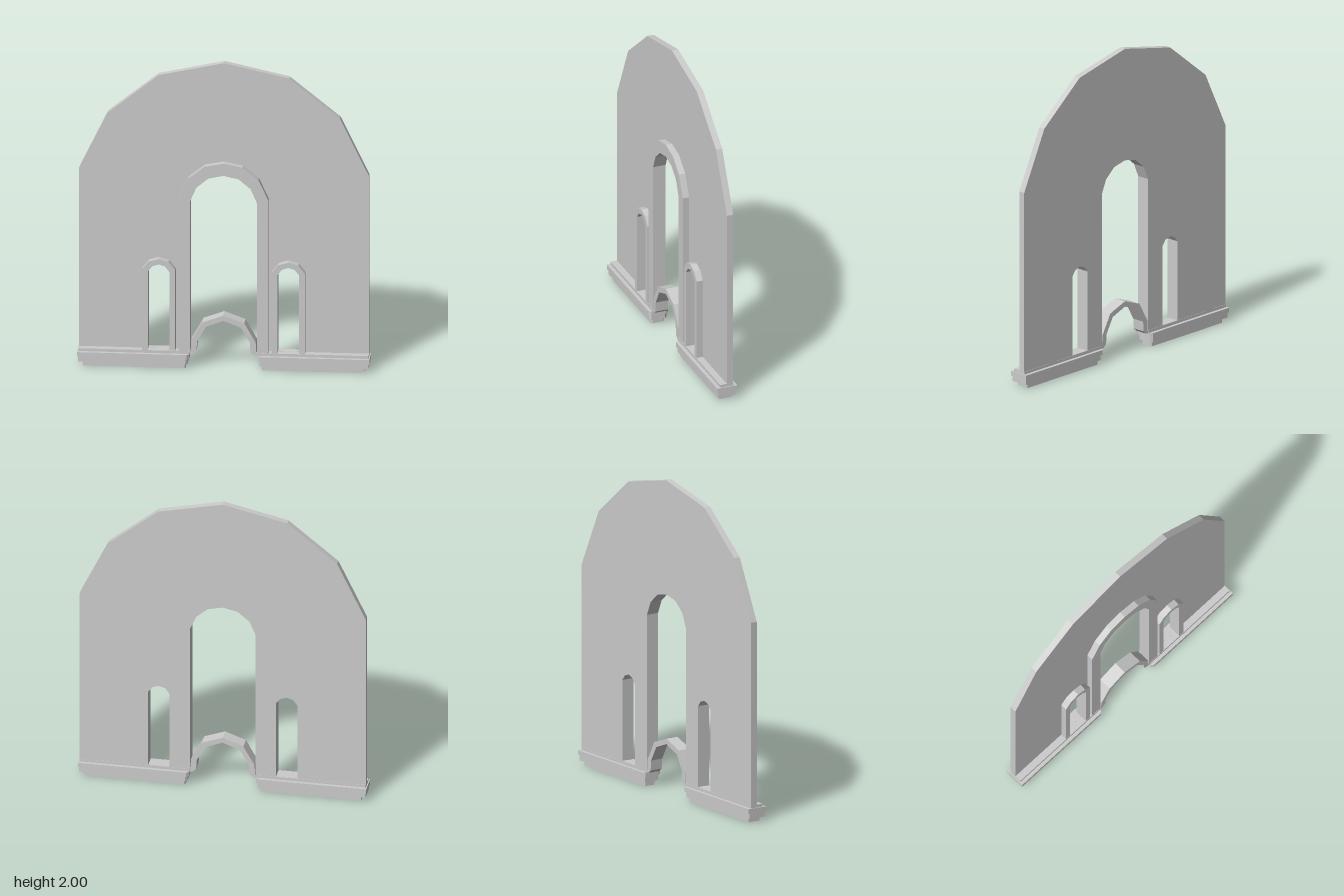
import * as THREE from 'three';

const material = new THREE.MeshStandardMaterial({ color: 0xcccccc, flatShading: true });

// Right half of an arch, from foot to apex, mirrored into a full open line
function mirrorArch(half, cx = 0) {
  const right = half.map(([x, y]) => [cx + x, y]);
  const left = half.slice(0, -1).reverse().map(([x, y]) => [cx - x, y]);
  return [...right, ...left];
}

const toPoints = (line) => line.map(([x, y]) => new THREE.Vector2(x, y));

// Flat outline extruded between two depths
function slab(name, shape, z0, z1) {
  const geometry = new THREE.ExtrudeGeometry(shape, { depth: z1 - z0, bevelEnabled: false });
  geometry.translate(0, 0, z0);
  const mesh = new THREE.Mesh(geometry, material);
  mesh.name = name;
  return mesh;
}

// Band between an outer and an inner arch line
function band(name, outer, inner, z0, z1) {
  const shape = new THREE.Shape(toPoints([...outer, ...inner.slice().reverse()]));
  return slab(name, shape, z0, z1);
}

// Plinth course: plan outline with the doorway corners cut off
function course(name, side, x0, x1, y0, y1, depth, cut) {
  const plan = [[x0 + cut, -depth], [x1, -depth], [x1, depth],
    [x0 + cut, depth], [x0, depth - cut], [x0, cut - depth]];
  const shape = new THREE.Shape(toPoints(plan.map(([x, z]) => [side * x, z])));
  const geometry = new THREE.ExtrudeGeometry(shape, { depth: y1 - y0, bevelEnabled: false });
  geometry.rotateX(-Math.PI / 2);
  geometry.translate(0, y0, 0);
  const mesh = new THREE.Mesh(geometry, material);
  mesh.name = name;
  return mesh;
}

export function createModel() {
  const model = new THREE.Group();
  model.name = 'archedWall';
  const T = 0.042;
  const floor = 0.113;

  // Arch lines
  const wallLine = mirrorArch([[0.9, floor], [0.9, 1.28], [0.72, 1.655], [0.405, 1.91], [0, 2]]);
  const doorInner = mirrorArch([[0.207, floor], [0.207, 1.1], [0.168, 1.19], [0.095, 1.252], [0, 1.273]]);
  const doorOuter = mirrorArch([[0.28, floor], [0.28, 1.115], [0.217, 1.25], [0.118, 1.33], [0, 1.353]]);
  const windowInner = [[0.067, floor], [0.067, 0.63], [0.04, 0.665], [0, 0.678]];
  const windowOuter = [[0.103, floor], [0.103, 0.643], [0.062, 0.695], [0, 0.714]];

  // Wall panel, open at the doorway and pierced by two windows
  const wall = new THREE.Shape(toPoints([...wallLine, ...doorInner.slice().reverse()]));
  for (const side of [1, -1]) {
    const hole = mirrorArch(windowInner, side * 0.402).map(([x, y]) => [x, y === floor ? floor + 0.001 : y]);
    wall.holes.push(new THREE.Path(toPoints(hole)));
  }
  model.add(slab('wallPanel', wall, -T, 0));

  // Raised front surrounds
  model.add(band('doorSurround', doorOuter, doorInner, 0, T));
  for (const side of [1, -1]) {
    const cx = side * 0.402;
    model.add(band(side > 0 ? 'leftWindowSurround' : 'rightWindowSurround',
      mirrorArch(windowOuter, cx), mirrorArch(windowInner, cx), 0, T));
  }

  // Low arch bridging the doorway, with feet flaring into the plinths
  model.add(band('lowArch',
    mirrorArch([[0.225, 0.095], [0.204, 0.11], [0.2, 0.18], [0.13, 0.305], [0, 0.353]]),
    mirrorArch([[0.19, 0.095], [0.168, 0.115], [0.163, 0.18], [0.108, 0.277], [0, 0.318]]),
    -T, T));

  // Stepped plinths on both sides of the doorway
  for (const side of [1, -1]) {
    const plinth = new THREE.Group();
    plinth.name = side > 0 ? 'leftPlinth' : 'rightPlinth';
    plinth.add(
      course('foot', side, 0.235, 0.87, 0, 0.03, 0.042, 0.008),
      course('lowerStep', side, 0.222, 0.9, 0.03, 0.065, 0.057, 0.012),
      course('upperStep', side, 0.212, 0.907, 0.065, 0.095, 0.066, 0.015),
      course('ledge', side, 0.205, 0.9, 0.095, floor, 0.044, 0.004),
    );
    model.add(plinth);
  }
  return model;
}
